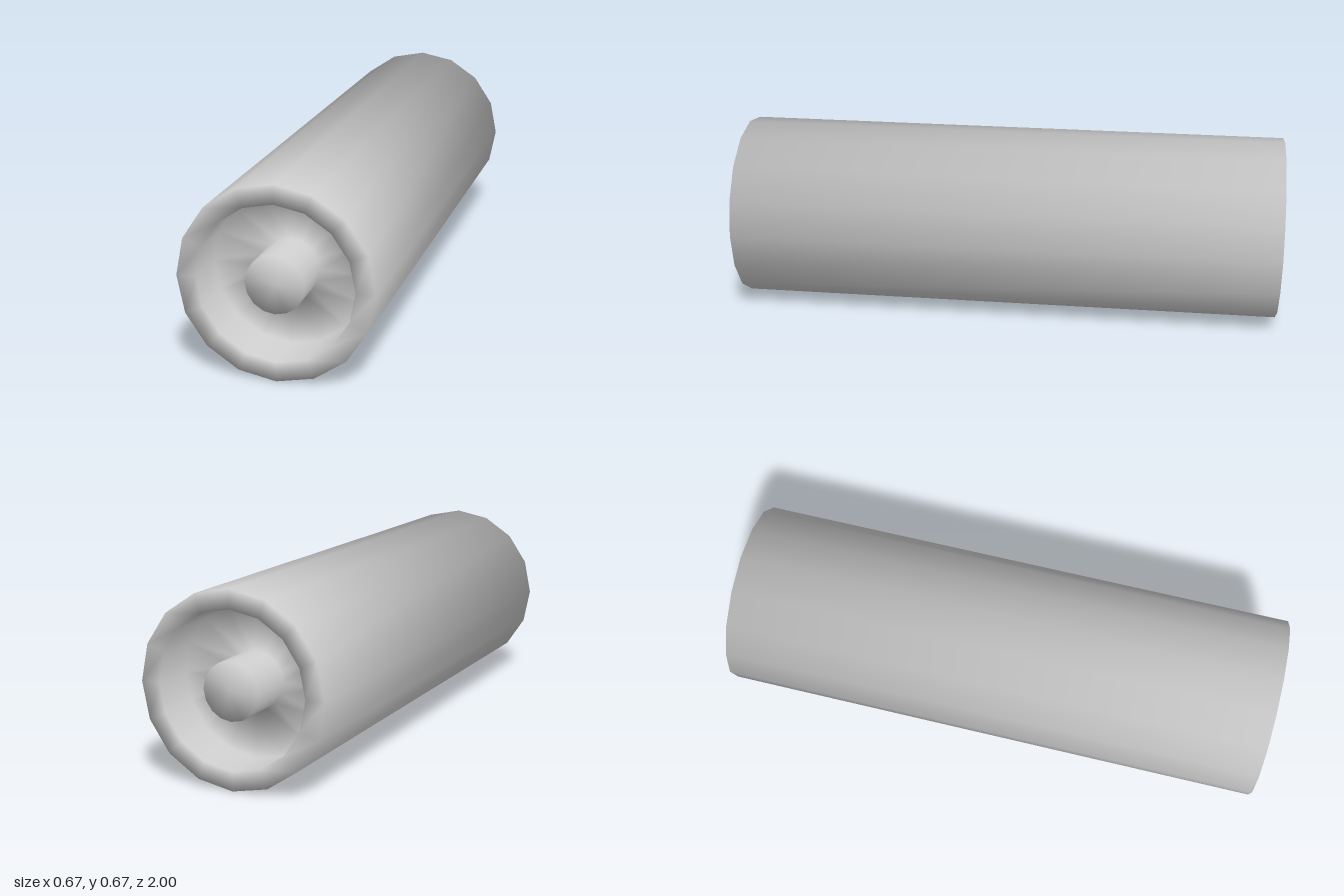
import * as THREE from 'three';

const SIDES = 16, R = 1 / 3, RIM = 0.267, CORE = 0.1, DEPTH = 0.165;

// Half-section of the roll, from the centre of the back to the centre of the front
const back = [[0, -1], [CORE, -1], [CORE, -1 + DEPTH], [RIM, -1 + DEPTH], [RIM, -1], [R, -1]];
const front = back.map(([r, z]) => [r, -z]).reverse();
const profile = [...back, ...front].map(([r, z]) => new THREE.Vector2(r, z));

// Evenly blended normals at each corner keep the whole skin smooth
const edgeNormals = profile.slice(1).map((p, i) => {
  const d = p.clone().sub(profile[i]).normalize();
  return new THREE.Vector2(d.y, -d.x);
});
const normals = profile.map((p, i) => {
  const a = edgeNormals[Math.max(i - 1, 0)];
  const b = edgeNormals[Math.min(i, edgeNormals.length - 1)];
  return a.clone().add(b).normalize();
});

// Turns the section points from..to around the z axis
function turned(name, from, to, material) {
  const points = profile.slice(from, to + 1);
  const geometry = new THREE.LatheGeometry(points, SIDES);
  const attribute = geometry.attributes.normal;
  for (let i = 0; i <= SIDES; i++) {
    const a = (i / SIDES) * Math.PI * 2;
    points.forEach((p, j) => {
      const n = normals[from + j];
      attribute.setXYZ(i * points.length + j, n.x * Math.sin(a), n.y, n.x * Math.cos(a));
    });
  }
  geometry.rotateX(Math.PI / 2);
  geometry.translate(0, R, 0);
  const mesh = new THREE.Mesh(geometry, material);
  mesh.name = name;
  return mesh;
}

export function createModel() {
  const material = new THREE.MeshStandardMaterial({ color: 0xcccccc });
  const group = new THREE.Group();
  group.name = 'roller';
  group.add(
    turned('backCore', 0, 2, material),
    turned('backRecess', 2, 4, material),
    turned('outerShell', 4, 7, material), // both rims and the long side
    turned('frontRecess', 7, 9, material),
    turned('frontCore', 9, 11, material),
  );
  return group;
}
